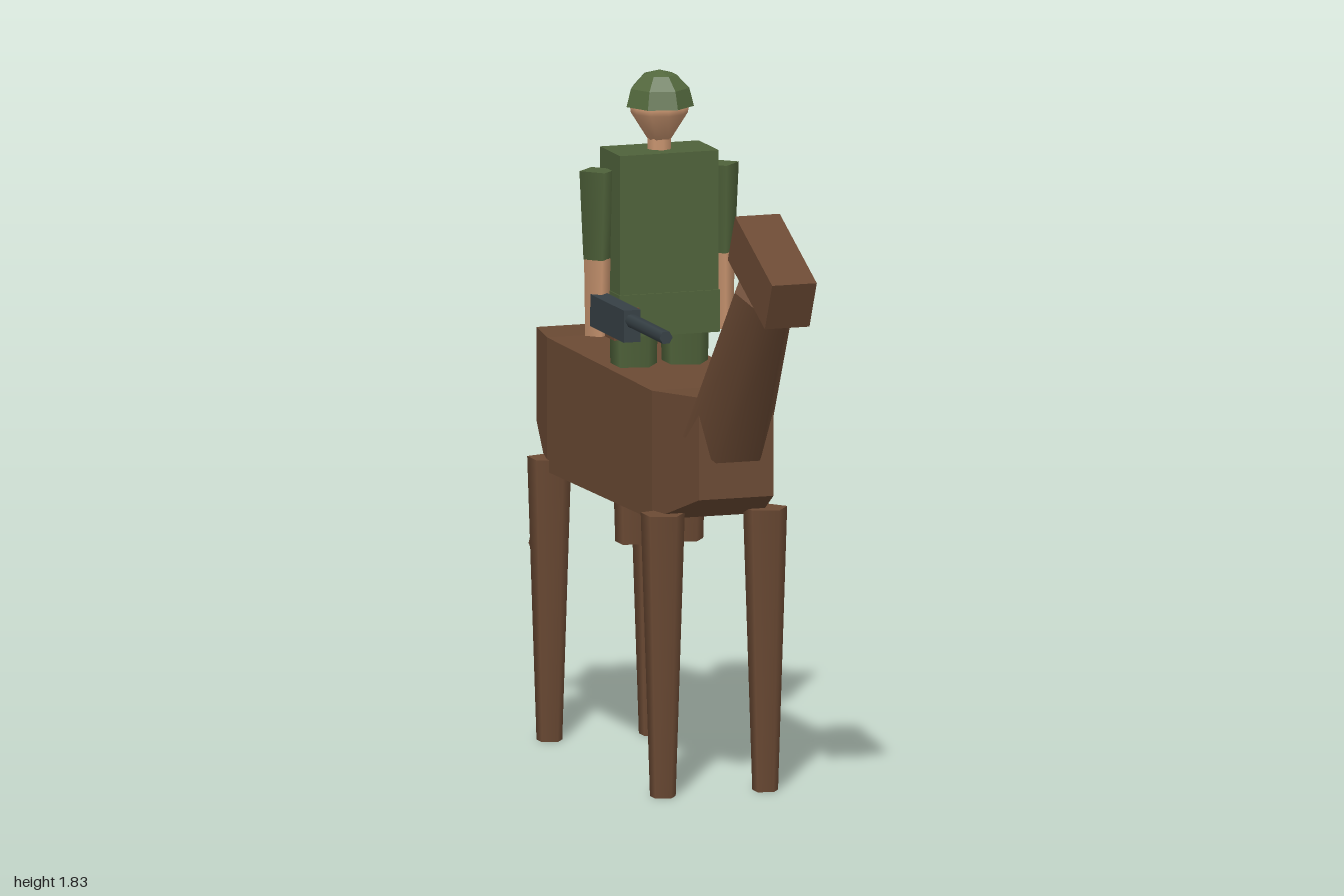
import * as THREE from 'three';

const make = (name, color) => Object.assign(new THREE.MeshStandardMaterial({ color }), { name });

export function createModel() {
  const brown = make('brown', 0x6b4a34);
  const green = make('olive green', 0x4f623a);
  const skin = make('skin', 0xc8946f);
  const metal = make('gun metal', 0x364045);
  const shell = make('helmet green', 0x53683d);
  shell.side = THREE.DoubleSide;
  shell.flatShading = true;

  const model = new THREE.Group();
  model.name = 'riderOnHorse';

  const add = (name, geometry, material, x = 0, y = 0, z = 0) => {
    const mesh = new THREE.Mesh(geometry, material);
    mesh.name = name;
    mesh.position.set(x, y, z);
    model.add(mesh);
    return mesh;
  };
  const box = (name, material, w, h, d, x, y, z) =>
    add(name, new THREE.BoxGeometry(w, h, d), material, x, y, z);
  // Tapered limb between two points; one corner faces +x when turn is a quarter circle
  const limb = (name, material, from, to, r0, r1, sides, turn = Math.PI / 2) => {
    const a = new THREE.Vector3(...from), b = new THREE.Vector3(...to);
    const dir = b.clone().sub(a);
    const geometry = new THREE.CylinderGeometry(r1, r0, dir.length(), sides, 1, false, turn);
    const mesh = add(name, geometry, material);
    mesh.position.copy(a).add(b).multiplyScalar(0.5);
    mesh.quaternion.setFromUnitVectors(new THREE.Vector3(0, 1, 0), dir.normalize());
    return mesh;
  };

  // Horse body: box sections [z, half width, bottom, top]
  const sections = [
    [-0.72, 0.10, 0.80, 1.045],
    [-0.475, 0.157, 0.71, 1.062],
    [0.32, 0.15, 0.717, 1.055],
    [0.55, 0.102, 0.803, 1.072],
  ];
  const rings = sections.map(([z, w, lo, hi]) => [[-w, lo, z], [w, lo, z], [w, hi, z], [-w, hi, z]]);
  const pos = [];
  const quad = (a, b, c, d) => pos.push(...a, ...b, ...c, ...a, ...c, ...d);
  for (let i = 0; i < rings.length - 1; i++) {
    for (let k = 0; k < 4; k++) {
      const n = (k + 1) % 4;
      quad(rings[i][k], rings[i][n], rings[i + 1][n], rings[i + 1][k]);
    }
  }
  quad(...rings[3]);
  quad(...rings[0].slice().reverse());
  const bodyGeometry = new THREE.BufferGeometry();
  bodyGeometry.setAttribute('position', new THREE.Float32BufferAttribute(pos, 3));
  bodyGeometry.computeVertexNormals();
  add('horseBody', bodyGeometry, brown);

  // Horse neck, head and tail
  limb('horseNeck', brown, [0, 0.96, 0.478], [0, 1.385, 0.78], 0.12, 0.085, 6);
  box('horseHead', brown, 0.122, 0.136, 0.318, 0, 1.444, 0.831).rotation.x = 0.434;
  limb('horseTail', brown, [0, 0.422, -0.965], [0, 0.85, -0.726], 0.035, 0.03, 6, 0);

  // Horse legs
  for (const x of [-0.14, 0.14]) {
    for (const z of [0.378, -0.505]) {
      limb(z > 0 ? 'frontLeg' : 'hindLeg', brown, [x, 0, z], [x, 0.742, z], 0.035, 0.06, 5);
    }
  }

  // Rider
  const rz = -0.048;
  box('torso', green, 0.27, 0.37, 0.155, 0, 1.435, rz);
  box('hips', green, 0.275, 0.11, 0.165, 0, 1.2, rz);
  for (const s of [-1, 1]) {
    limb('thigh', green, [s * 0.07, 0.85, rz], [s * 0.07, 1.18, rz], 0.058, 0.066, 5);
    limb('lowerLeg', brown, [s * 0.07, 0.592, rz], [s * 0.07, 0.85, rz], 0.05, 0.058, 5);
    limb('sleeve', green, [s * 0.169, 1.34, rz - 0.002], [s * 0.167, 1.572, rz - 0.002], 0.038, 0.051, 4);
    limb('forearm', skin, [s * 0.171, 1.14, rz], [s * 0.169, 1.34, rz], 0.032, 0.037, 4);
  }
  limb('riderNeck', skin, [0, 1.615, rz], [0, 1.66, rz], 0.032, 0.032, 8);
  const face = [[0, 1.64], [0.03, 1.645], [0.074, 1.715], [0.077, 1.74], [0, 1.75]];
  add('riderHead', new THREE.LatheGeometry(face.map(p => new THREE.Vector2(...p)), 10), skin, 0, 0, rz);
  add('helmet', new THREE.SphereGeometry(0.09, 7, 3, 0, Math.PI * 2, 0, Math.PI / 2), shell, 0, 1.733, rz)
    .scale.y = 1.04;

  // Gun held at the right hand
  box('gunBody', metal, 0.046, 0.084, 0.295, -0.17, 1.209, 0.077);
  limb('gunBarrel', metal, [-0.172, 1.224, 0.2], [-0.172, 1.224, 0.494], 0.018, 0.018, 6);
  box('gunGrip', brown, 0.07, 0.082, 0.075, -0.12, 1.18, 0.003);

  return model;
}
